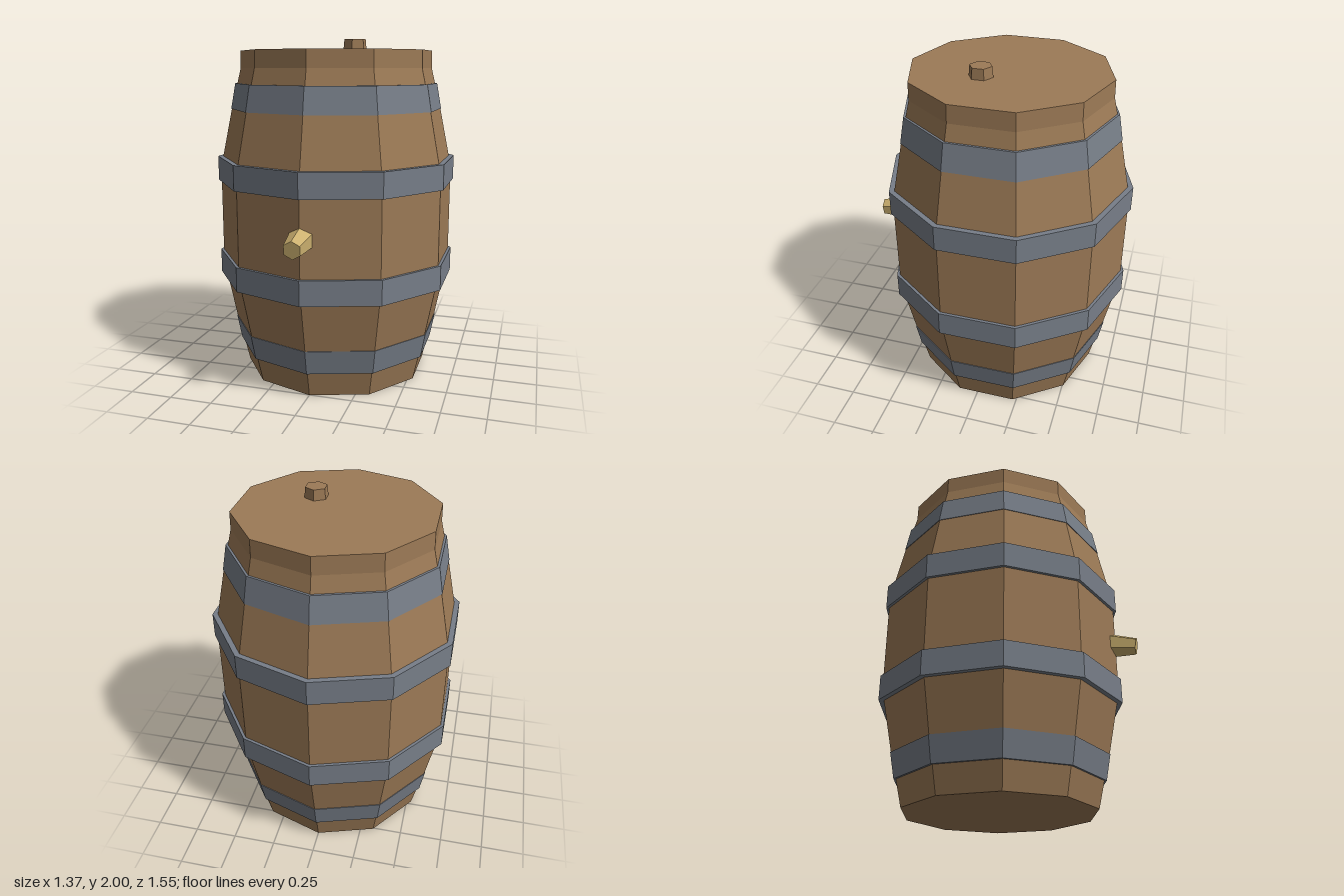
import * as THREE from 'three';

const SIDES = 10;
const CENTRE_Z = -0.055;

// Faceted copy of a geometry: every face gets its own flat normal
function faceted(geometry) {
  const flat = geometry.toNonIndexed();
  flat.computeVertexNormals();
  return flat;
}

// Ten-sided solid from a [radius, height] profile running bottom to top
function turned(profile) {
  const points = profile.map(([r, y]) => new THREE.Vector2(r, y));
  return faceted(new THREE.LatheGeometry(points, SIDES));
}

export function createModel() {
  const wood = new THREE.MeshStandardMaterial({ color: 0x9c7a56 });
  wood.name = 'oak wood';
  const iron = new THREE.MeshStandardMaterial({ color: 0x777e88 });
  iron.name = 'grey iron';
  const paleWood = new THREE.MeshStandardMaterial({ color: 0xcbb06f });
  paleWood.name = 'pale wood';

  const model = new THREE.Group();
  model.name = 'barrel';
  const add = (name, geometry, material, x, y, z) => {
    const mesh = new THREE.Mesh(geometry, material);
    mesh.name = name;
    mesh.position.set(x, y, z);
    model.add(mesh);
    return mesh;
  };

  // Staves with closed ends
  add('staves', turned([
    [0, 0], [0.557, 0], [0.592, 0.15], [0.629, 0.295], [0.69, 0.59], [0.703, 0.73],
    [0.703, 1.17], [0.69, 1.31], [0.629, 1.6], [0.592, 1.75], [0.57, 1.84],
    [0.568, 1.94], [0, 1.94],
  ]), wood, 0, 0, CENTRE_Z);

  // Hoops: [bottom height, bottom radius, top height, top radius]
  const hoops = {
    bottomHoop: [0.15, 0.605, 0.295, 0.633],
    lowerHoop: [0.587, 0.72, 0.732, 0.72],
    upperHoop: [1.17, 0.72, 1.315, 0.72],
    topHoop: [1.6, 0.633, 1.75, 0.605],
  };
  for (const [name, [y0, r0, y1, r1]] of Object.entries(hoops)) {
    const profile = [[r0 - 0.05, y0], [r0, y0], [r1, y1], [r1 - 0.05, y1]];
    add(name, turned(profile), iron, 0, 0, CENTRE_Z);
  }

  // Bung in the lid
  const bung = faceted(new THREE.CylinderGeometry(0.063, 0.07, 0.08, 6));
  add('bung', bung, wood, 0.145, 1.96, 0.067);

  // Tapered tap plug, tipped slightly downwards
  const plug = faceted(new THREE.CylinderGeometry(0.052, 0.077, 0.17, 6));
  add('tapPlug', plug, paleWood, 0, 0.9375, 0.684).rotation.x = Math.PI / 2 + 0.147;

  return model;
}
